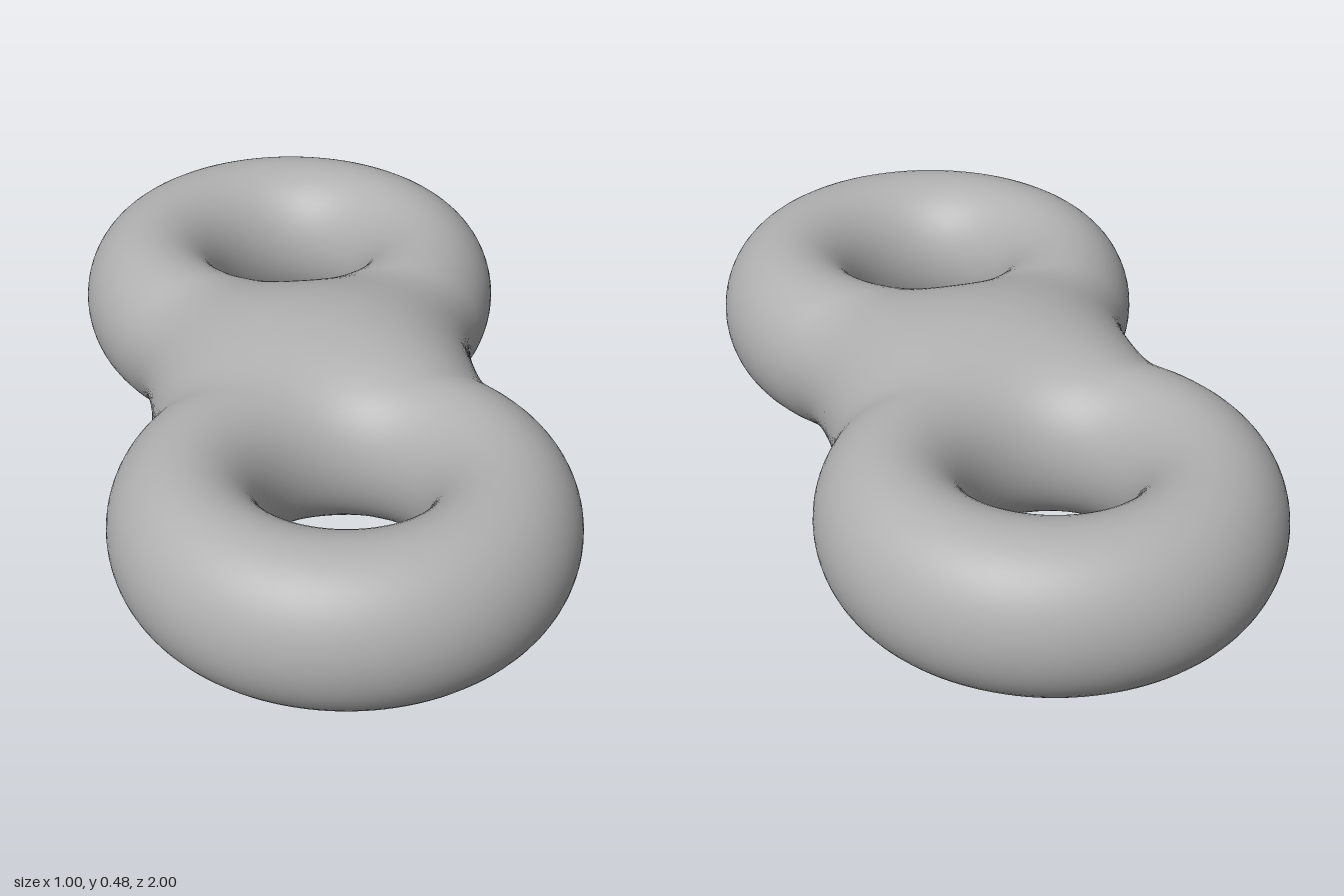
import * as THREE from 'three';

// Two rings (centred at z = +-0.5) melted together; the surface is y^2 = g(x, z)
const RING = 0.336, HALF_WIDTH = 0.164, HALF_HEIGHT_SQ = 0.035, CENTRE = 0.5, MID_Y = 0.24;

function ringField(x, z) {
  const d = (Math.hypot(x, z) - RING) / HALF_WIDTH;
  return HALF_HEIGHT_SQ * (1 - d * d);
}

// Smooth maximum of both rings
function g(x, z) {
  const a = ringField(x, z - CENTRE), b = ringField(x, z + CENTRE);
  const k = 0.23 + 0.46 * x * x;
  const e = Math.max(0, 1 - Math.abs(a - b) / k);
  return Math.max(a, b) + (k / 4) * e * e;
}

// Point between inside (f > 0) and outside (f < 0)
function findEdge(f, inside, outside) {
  if (f(outside) > 0) return outside;
  for (let i = 0; i < 50; i++) {
    const m = (inside + outside) / 2;
    if (f(m) > 0) inside = m; else outside = m;
  }
  return (inside + outside) / 2;
}

function buildSurface() {
  const waist = findEdge(x => g(x, 0), 0.1, 0.6);
  const corner = Math.atan2(waist, -CENTRE);
  const OUTER = 96, CUT = 40, N = 28;

  // Angles around one hole: free outer rim, then the side joining the other ring
  const angles = [];
  for (let i = 0; i < OUTER; i++) angles.push(-corner + (2 * corner * i) / OUTER);
  for (let i = 0; i <= CUT; i++) {
    const t = Math.atan2(waist * Math.cos((Math.PI * i) / CUT), -CENTRE);
    angles.push(t < 0 ? t + 2 * Math.PI : t);
  }

  const positions = [], normals = [], indices = [];
  // One quarter (top front), mirrored in y and z
  for (const sy of [1, -1]) for (const sz of [1, -1]) {
    const base = positions.length / 3;
    for (const t of angles) {
      const s = Math.sin(t), c = Math.cos(t);
      const along = r => g(r * s, CENTRE + r * c);
      const limit = c < 0 ? Math.min(0.75, -CENTRE / c) : 0.75;
      const inner = findEdge(along, RING, 0.05), outer = findEdge(along, RING, limit);
      for (let j = 0; j <= N; j++) {
        const r = inner + (outer - inner) * (1 - Math.cos((Math.PI * j) / N)) / 2;
        const x = r * s, z = CENTRE + r * c;
        const y = Math.sqrt(Math.max(0, g(x, z)));
        const h = 1e-4;
        const n = new THREE.Vector3(
          (g(x - h, z) - g(x + h, z)) / (2 * h), 2 * y,
          (g(x, z - h) - g(x, z + h)) / (2 * h)).normalize();
        positions.push(x, MID_Y + sy * y, sz * z);
        normals.push(n.x, sy * n.y, sz * n.z);
      }
    }
    for (let i = 0; i < angles.length - 1; i++) for (let j = 0; j < N; j++) {
      const a = base + i * (N + 1) + j, b = a + 1, d = a + N + 1, e = d + 1;
      if (sy * sz > 0) indices.push(a, b, d, b, e, d);
      else indices.push(a, d, b, b, d, e);
    }
  }

  const geometry = new THREE.BufferGeometry();
  geometry.setAttribute('position', new THREE.Float32BufferAttribute(positions, 3));
  geometry.setAttribute('normal', new THREE.Float32BufferAttribute(normals, 3));
  geometry.setIndex(indices);
  return geometry;
}

export function createModel() {
  const group = new THREE.Group();
  group.name = 'doubleTorus';
  const grey = new THREE.MeshStandardMaterial({ color: 0xb0b0b0 });
  grey.name = 'grey';
  const body = new THREE.Mesh(buildSurface(), grey);
  body.name = 'doubleRingBody';
  group.add(body);
  return group;
}
